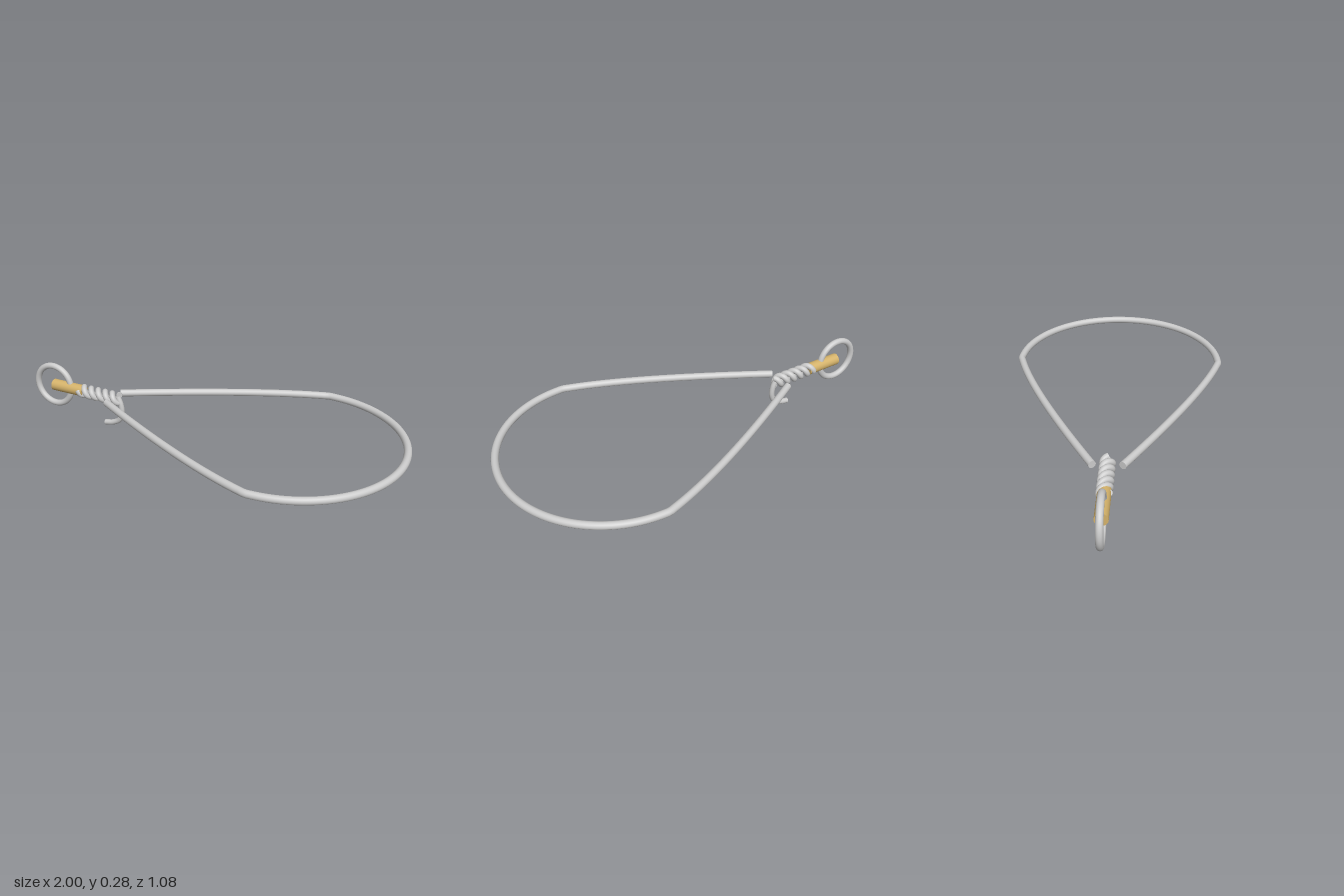
import * as THREE from 'three';

const Y = 0.165; // height of the loop plane and rod axis
const V = (x, y, z) => new THREE.Vector3(x, y, z);

const wireMaterial = new THREE.MeshStandardMaterial({ color: 0xcccccc });
const brassMaterial = new THREE.MeshStandardMaterial({ color: 0xd4b26a });

function addMesh(parent, name, geometry, material = wireMaterial) {
  const mesh = new THREE.Mesh(geometry, material);
  mesh.name = name;
  parent.add(mesh);
  return mesh;
}

// Round wire along a curve, closed by flat discs at both ends
function addWire(parent, name, curve, radius, segments) {
  const wire = new THREE.Group();
  wire.name = name;
  addMesh(wire, name + 'Body', new THREE.TubeGeometry(curve, segments, radius, 16));
  for (const [t, sign] of [[0, -1], [1, 1]]) {
    const cap = addMesh(wire, name + 'End', new THREE.CircleGeometry(radius, 16));
    cap.position.copy(curve.getPointAt(t));
    cap.quaternion.setFromUnitVectors(V(0, 0, 1), curve.getTangentAt(t).multiplyScalar(sign));
  }
  parent.add(wire);
}

// Helix around the x axis
class Helix extends THREE.Curve {
  constructor(phase) {
    super();
    this.phase = phase;
  }
  getPoint(t, target = new THREE.Vector3()) {
    const a = this.phase - t * 2.8 * Math.PI * 2;
    return target.set(-0.715 + 0.24 * t, Y + 0.022 * Math.sin(a), 0.022 * Math.cos(a));
  }
}

export function createModel() {
  const model = new THREE.Group();
  model.name = 'wireSnare';

  // Anchor ring at the tail
  const ring = addMesh(model, 'ring', new THREE.TorusGeometry(0.105, 0.016, 16, 64));
  ring.position.set(-0.879, Y, 0);

  // Brass rod through the ring
  const rod = addMesh(model, 'rod', new THREE.CylinderGeometry(0.03, 0.03, 0.19, 32), brassMaterial);
  rod.rotation.z = Math.PI / 2;
  rod.position.set(-0.785, Y, 0);

  // Two twisted strands
  for (let i = 0; i < 2; i++) {
    addWire(model, 'twistedStrand', new Helix(Math.PI * (i + 0.1)), 0.015, 110);
  }

  // Large loop: two gently bowed arms meeting a half circle
  const R = 0.523, cx = 0.46;
  const loop = [];
  const arm = new THREE.QuadraticBezierCurve3(V(-0.51, Y, 0.066), V(0.13, Y, 0.432), V(cx, Y, R));
  const armPoints = arm.getPoints(24);
  loop.push(...armPoints);
  for (let i = 1; i < 48; i++) {
    const a = Math.PI / 2 - (i / 48) * Math.PI;
    loop.push(V(cx + R * Math.cos(a), Y, R * Math.sin(a)));
  }
  loop.push(...armPoints.map((p) => V(p.x, Y, -p.z)).reverse());
  addWire(model, 'loop', new THREE.CatmullRomCurve3(loop), 0.018, 220);

  // Small trigger hook curling under the twist
  const hook = new THREE.CatmullRomCurve3([
    V(-0.485, 0.178, 0), V(-0.468, 0.135, 0), V(-0.464, 0.09, 0),
    V(-0.482, 0.048, 0), V(-0.518, 0.026, 0), V(-0.566, 0.015, 0),
  ]);
  addWire(model, 'hook', hook, 0.014, 40);

  return model;
}
